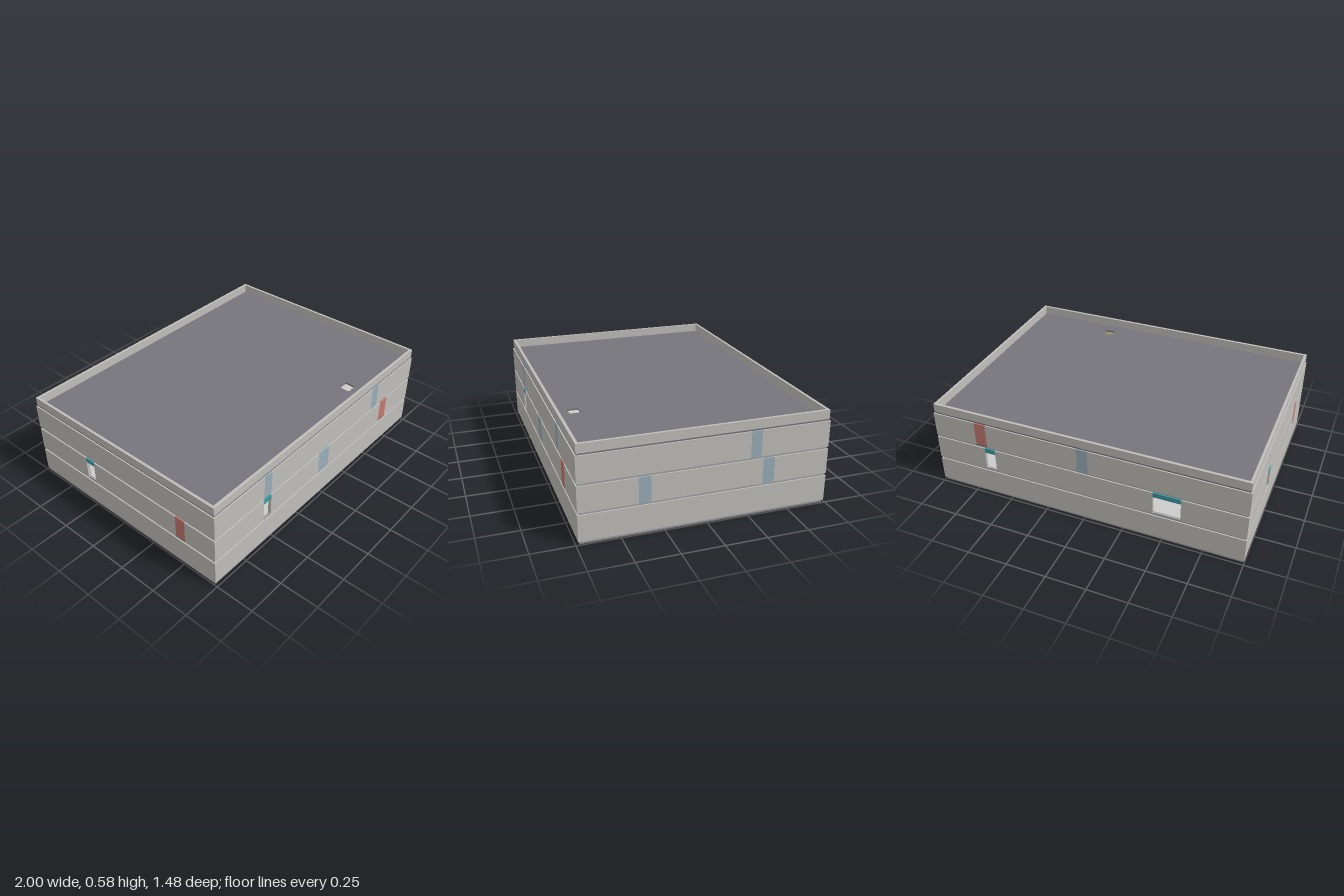
import * as THREE from 'three';

const HX = 1, HZ = 0.738, T = 0.02, INSET = 0.008;

const mat = (color) => new THREE.MeshStandardMaterial({ color });
const MATS = {
  wall: mat(0xc0beb9), slab: mat(0x77757c), trim: mat(0xa3a1a3), glass: mat(0x9aaeb9),
  door: mat(0xc47a70), gate: mat(0x3f9aa3), floor: mat(0xcccccc), ladder: mat(0xd8c860),
};

// Box given by its minimum and maximum corners
function box(parent, name, material, x0, x1, y0, y1, z0, z1) {
  const mesh = new THREE.Mesh(new THREE.BoxGeometry(x1 - x0, y1 - y0, z1 - z0), MATS[material]);
  mesh.position.set((x0 + x1) / 2, (y0 + y1) / 2, (z0 + z1) / 2);
  mesh.name = name;
  parent.add(mesh);
  return mesh;
}

function rect(target, x0, x1, y0, y1) {
  target.moveTo(x0, y0);
  target.lineTo(x1, y0);
  target.lineTo(x1, y1);
  target.lineTo(x0, y1);
  target.closePath();
  return target;
}

// Horizontal plate with one rectangular hole, bounds given in x and z
function plateWithHole(parent, name, material, hx, hz, hole, y0, y1) {
  const shape = rect(new THREE.Shape(), -hx, hx, -hz, hz);
  const [x0, x1, z0, z1] = hole;
  shape.holes.push(rect(new THREE.Path(), x0, x1, -z1, -z0));
  const geo = new THREE.ExtrudeGeometry(shape, { depth: y1 - y0, bevelEnabled: false });
  geo.rotateX(-Math.PI / 2);
  const mesh = new THREE.Mesh(geo, MATS[material]);
  mesh.position.y = y0;
  mesh.name = name;
  parent.add(mesh);
}

// One wall facing local +z; openings [start, end, kind] run left to right
function wall(length, y0, y1, openings) {
  const g = new THREE.Group();
  let u = -length / 2;
  for (const [a, b, kind] of openings) {
    box(g, 'wallPanel', 'wall', u, a, y0, y1, -T, 0);
    if (kind === 'glass') box(g, 'window', 'glass', a, b, y0, y1, -T, 0);
    if (kind === 'door') {
      box(g, 'door', 'door', a, b, y0 + 0.008, y1, -T, 0);
      box(g, 'doorSill', 'slab', a, b, y0, y0 + 0.008, -T, 0);
    }
    if (kind === 'gate') box(g, 'raisedGate', 'gate', a, b, y1 - 0.031, y1, -T, 0);
    u = b;
  }
  box(g, 'wallPanel', 'wall', u, length / 2, y0, y1, -T, 0);
  return g;
}

export function createModel() {
  const model = new THREE.Group();
  const sx = HX - INSET, sz = HZ - INSET;

  // Foundation and recessed bands between the storeys
  box(model, 'foundation', 'slab', -sx, sx, 0, 0.006, -sz, sz);
  box(model, 'baseBand', 'trim', -sx, sx, 0.006, 0.02, -sz, sz);
  for (const y of [0.177, 0.346]) box(model, 'storeySlab', 'trim', -sx, sx, y, y + 0.014, -sz, sz);

  // Four walls for each storey: front, right, back, left
  const storeys = [
    { y: [0.02, 0.177], name: 'lowerStorey', walls: [[], [], [], []] },
    {
      y: [0.191, 0.346], name: 'middleStorey', walls: [
        [[-0.585, -0.52, 'gate'], [-0.055, 0.05, 'glass'], [0.635, 0.715, 'door']],
        [[-0.4, -0.33, 'glass'], [0.33, 0.4, 'glass']],
        [[-0.66, -0.59, 'gate'], [0.44, 0.61, 'gate']],
        [[-0.3, -0.23, 'gate'], [0.446, 0.515, 'door']],
      ],
    },
    {
      y: [0.36, 0.52], name: 'upperStorey', walls: [
        [[-0.585, -0.52, 'glass'], [0.51, 0.58, 'glass']],
        [[0.25, 0.315, 'glass']],
        [[-0.715, -0.64, 'door'], [-0.035, 0.035, 'glass']],
        [],
      ],
    },
  ];
  const sideNames = ['front', 'right', 'back', 'left'];
  for (const { y, name, walls } of storeys) {
    const storey = new THREE.Group();
    storey.name = name;
    walls.forEach((openings, i) => {
      const long = i % 2 === 0;
      const g = wall(long ? 2 * HX : 2 * (HZ - T), y[0], y[1], openings);
      const angle = i * Math.PI / 2, d = long ? HZ : HX;
      g.rotation.y = angle;
      g.position.set(Math.sin(angle) * d, 0, Math.cos(angle) * d);
      g.name = sideNames[i] + 'Wall';
      storey.add(g);
    });
    // Floor finish
    box(storey, 'floor', 'floor', -HX + T, HX - T, y[0], y[0] + 0.002, -HZ + T, HZ - T);
    model.add(storey);
  }

  // Rooms behind the open gates
  const rooms = new THREE.Group();
  rooms.name = 'innerWalls';
  const lo = 0.193, hi = 0.346;
  box(rooms, 'frontLobbyWall', 'wall', -0.7, -0.4, lo, hi, 0.48, 0.49);
  box(rooms, 'frontLobbyCounter', 'trim', -0.57, -0.46, lo, 0.25, 0.5, 0.58);
  box(rooms, 'sideLobbyWall', 'wall', -0.76, -0.75, lo, hi, -0.45, -0.05);
  box(rooms, 'backLobbyWall', 'wall', 0.45, 0.8, lo, hi, -0.51, -0.5);
  box(rooms, 'loadingBayWall', 'wall', -0.7, -0.36, lo, hi, -0.45, -0.44);
  box(rooms, 'loadingBaySideWall', 'wall', -0.37, -0.36, lo, hi, -HZ + T, -0.45);
  box(rooms, 'loadingBayDoor', 'door', -0.53, -0.46, lo, hi - 0.01, -0.454, -0.45);
  model.add(rooms);

  // Roof with its hatch, and the raised parapet
  const hatch = [0.38, 0.45, 0.57, 0.64];
  plateWithHole(model, 'roof', 'slab', sx, sz, hatch, 0.52, 0.53);
  const px = 0.979, pz = 0.715;
  plateWithHole(model, 'parapet', 'wall', HX - 0.005, HZ - 0.006, [-px, px, -pz, pz], 0.53, 0.585);

  // Ladder under the hatch
  const ladder = new THREE.Group();
  ladder.name = 'ladder';
  for (const x of [0.393, 0.433]) box(ladder, 'ladderRail', 'ladder', x, x + 0.004, 0.362, 0.52, 0.626, 0.632);
  for (let i = 0; i < 6; i++) {
    const y = 0.38 + i * 0.026;
    box(ladder, 'ladderRung', 'ladder', 0.393, 0.437, y, y + 0.004, 0.626, 0.631);
  }
  model.add(ladder);
  return model;
}
